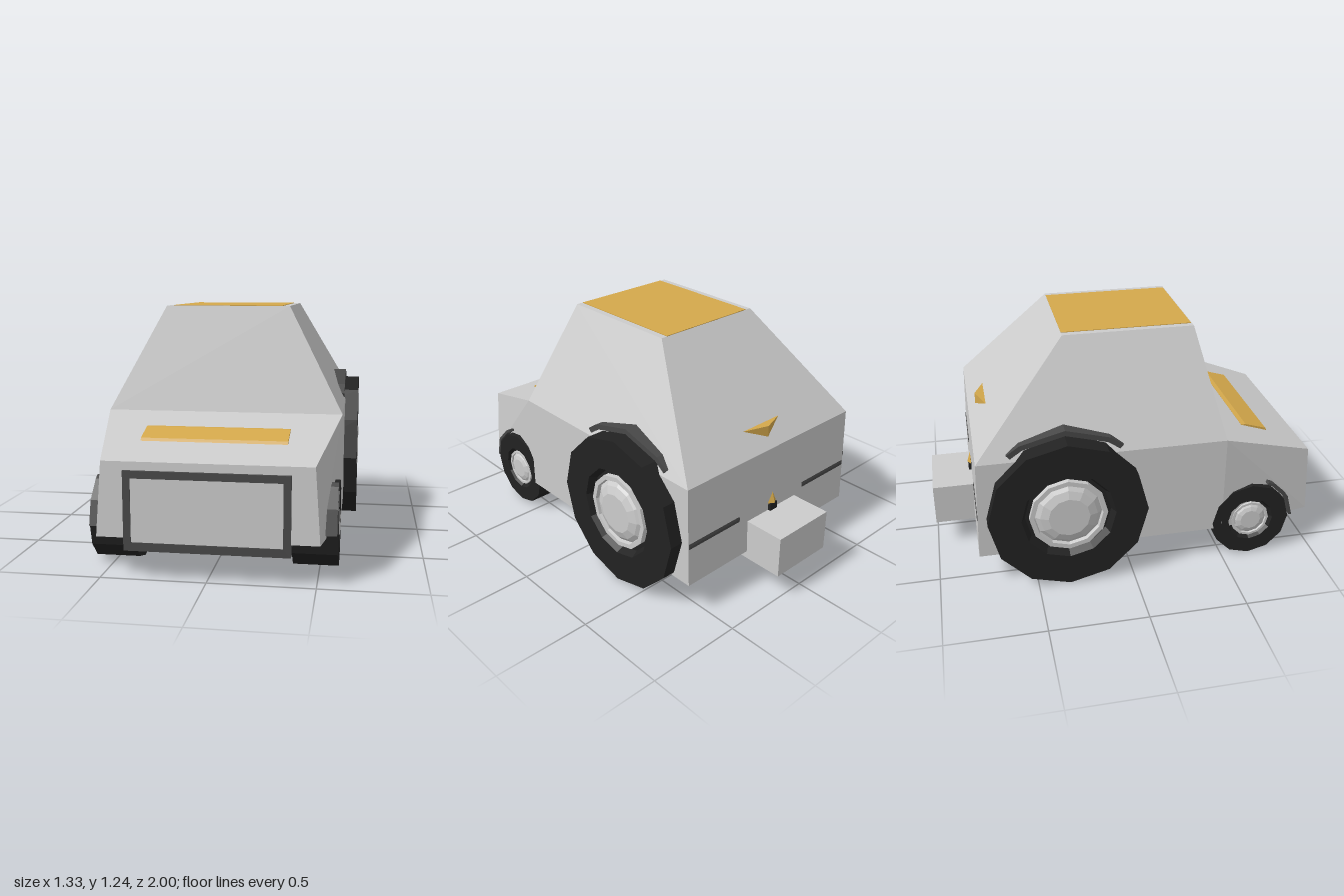
import * as THREE from 'three';
import { ConvexGeometry } from 'three/addons/geometries/ConvexGeometry.js';

const paint = (color) => new THREE.MeshStandardMaterial({ color, flatShading: true });
const grey = paint(0xcccccc), black = paint(0x222222), dark = paint(0x484848), gold = paint(0xd4a84b);

export function createModel() {
  const car = new THREE.Group();
  car.name = 'car';

  const add = (name, geometry, material, parent = car) => {
    const mesh = new THREE.Mesh(geometry, material);
    mesh.name = name;
    parent.add(mesh);
    return mesh;
  };
  // Box given by its limits on each axis
  const box = (name, [x0, x1], [y0, y1], [z0, z1], material) => {
    const mesh = add(name, new THREE.BoxGeometry(x1 - x0, y1 - y0, z1 - z0), material);
    mesh.position.set((x0 + x1) / 2, (y0 + y1) / 2, (z0 + z1) / 2);
    return mesh;
  };
  // Convex solid from half-width corners [x, y, z], mirrored across x = 0
  const solid = (name, corners, material) => add(name, new ConvexGeometry(
    corners.flatMap(([x, y, z]) => x === 0
      ? [new THREE.Vector3(0, y, z)]
      : [new THREE.Vector3(x, y, z), new THREE.Vector3(-x, y, z)])), material);

  // Body and cabin
  solid('body', [
    [0.515, 0.195, 0.995], [0.49, 0.55, 0.985], [0.59, 0.71, 0.49], [0.59, 0.18, 0.49],
    [0.59, 0.71, -0.775], [0.59, 0.18, -0.79],
  ], grey);
  solid('cabin', [
    [0.59, 0.71, 0.49], [0.59, 0.71, -0.775], [0.315, 1.235, 0.37], [0.315, 1.235, -0.3],
  ], grey);
  box('roofPanel', [-0.28, 0.28], [1.22, 1.238], [-0.3, 0.365], gold);

  // Raised hood scoop
  solid('hoodScoop', [
    [0.35, 0.605, 0.8], [0.35, 0.625, 0.79], [0.35, 0.66, 0.675], [0.35, 0.66, 0.65], [0.35, 0.6, 0.65],
  ], gold);

  // Grille frame with an inset panel
  const frame = new THREE.Shape([[-0.385, 0.135], [0.385, 0.135], [0.385, 0.51], [-0.385, 0.51]]
    .map(([x, y]) => new THREE.Vector2(x, y)));
  frame.holes.push(new THREE.Path([[-0.35, 0.175], [-0.35, 0.475], [0.35, 0.475], [0.35, 0.175]]
    .map(([x, y]) => new THREE.Vector2(x, y))));
  add('grilleFrame', new THREE.ExtrudeGeometry(frame, { depth: 0.07, bevelEnabled: false }), dark)
    .position.z = 0.93;
  box('grillePanel', [-0.35, 0.35], [0.175, 0.475], [0.95, 0.996], grey);

  // Underside
  box('frontSkidPlate', [-0.36, 0.36], [0.177, 0.2], [0.47, 0.93], gold);
  box('frontAxle', [-0.4, 0.4], [0.165, 0.22], [0.61, 0.69], black);

  // Rear box and trims
  box('rearBox', [-0.18, 0.18], [0.14, 0.36], [-1, -0.65], grey);
  solid('rearBadge', [[0.13, 0.81, -0.685], [0, 0.755, -0.735], [0, 0.815, -0.735]], gold);
  box('lampBase', [-0.025, 0.025], [0.36, 0.4], [-0.8, -0.77], black);
  solid('rearLamp', [[0.03, 0.4, -0.785], [0, 0.4, -0.805], [0, 0.46, -0.787]], gold);

  // Wheel: 12-sided tyre with stepped recess, and a domed hub; profile [radius, axial]
  const lathe = (profile) => new THREE.LatheGeometry(profile.map(([r, a]) => new THREE.Vector2(r, a)), 12);
  const wheel = (name, side, r, y, z, inner, outer) => {
    const group = new THREE.Group();
    group.name = name;
    group.rotation.z = -side * Math.PI / 2;
    group.position.set(0, y, z);
    car.add(group);
    add('tyre', lathe([[0, inner], [r, inner], [r, outer], [r * 0.59, outer],
      [r * 0.54, outer - r * 0.1], [0, outer - r * 0.1]]), black, group);
    add('rim', lathe([[r * 0.49, outer - r * 0.12], [r * 0.49, outer - r * 0.03], [r * 0.43, outer - r * 0.03],
      [r * 0.42, outer - r * 0.08], [r * 0.36, outer - r * 0.03], [r * 0.26, outer + r * 0.01],
      [0, outer + r * 0.01]]), grey, group);
  };

  // Fender: a thin strip following the wheel at the given angles (0 = forward, 90 = up)
  const fender = (name, side, r, y, z, degrees, thickness, inner, outer) => {
    const ring = (radius) => degrees.map((d) => {
      const a = THREE.MathUtils.degToRad(d);
      return new THREE.Vector2(Math.cos(a) * radius, Math.sin(a) * radius);
    });
    const shape = new THREE.Shape([...ring(r), ...ring(r - thickness).reverse()]);
    const geometry = new THREE.ExtrudeGeometry(shape, { depth: outer - inner, bevelEnabled: false });
    geometry.rotateY(-Math.PI / 2);
    add(name, geometry, dark).position.set(side > 0 ? outer : -inner, y, z);
  };

  for (const side of [1, -1]) {
    const label = side > 0 ? 'left' : 'right';
    wheel(label + 'RearWheel', side, 0.405, 0.405, -0.335, 0.26, 0.66);
    wheel(label + 'FrontWheel', side, 0.21, 0.21, 0.65, 0.375, 0.59);
    const rear = [['Top', [50, 60, 90, 120, 130]], ['Front', [-20, 0, 30, 36]], ['Back', [144, 150, 180, 200]]];
    for (const [part, degrees] of rear)
      fender(label + 'RearFender' + part, side, 0.452, 0.4, -0.335, degrees, 0.028, 0.24, 0.585);
    fender(label + 'FrontFender', side, 0.235, 0.21, 0.65, [0, 30, 60, 68], 0.015, 0.34, 0.585);
  }
  return car;
}
